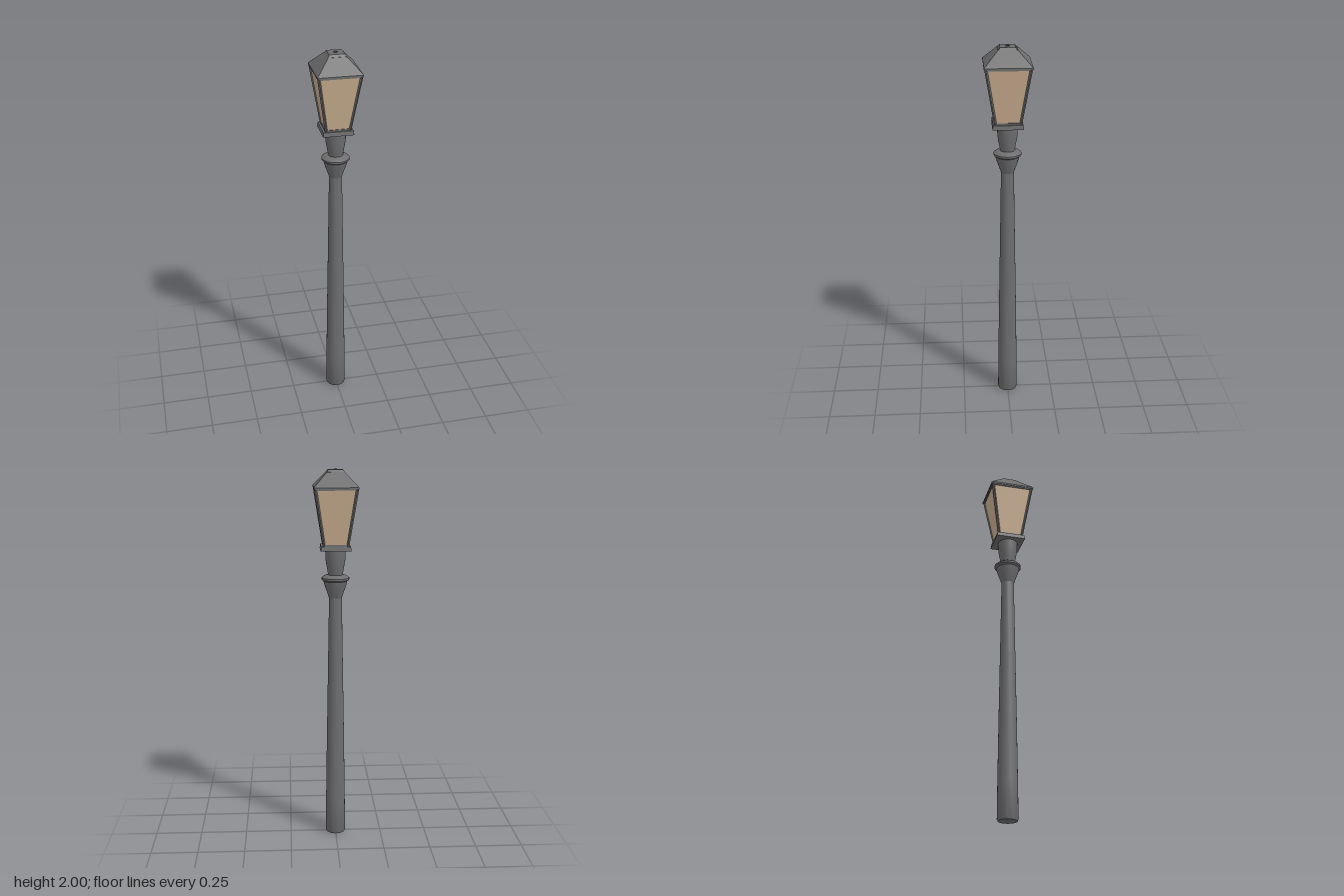
import * as THREE from 'three';
import { toCreasedNormals } from 'three/addons/utils/BufferGeometryUtils.js';

export function createModel() {
  const iron = new THREE.MeshStandardMaterial({ color: 0x6e6e6e });
  iron.name = 'grey iron';
  const glass = new THREE.MeshStandardMaterial({ color: 0xcbaf91 });
  glass.name = 'warm glass';
  const model = new THREE.Group();
  model.name = 'streetLamp';

  const add = (name, geometry, material = iron, parent = model) => {
    const mesh = new THREE.Mesh(geometry, material);
    mesh.name = name;
    parent.add(mesh);
    return mesh;
  };

  // Turned part from [radius, height] points, with sharp ridges
  const turned = (points, sides = 24) => toCreasedNormals(
    new THREE.LatheGeometry(points.map(([r, y]) => new THREE.Vector2(r, y)), sides), 0.5);

  // Four-sided tapered block; depth stretches it along z
  const taper = (y0, half0, y1, half1, depth = 1, open = false) => {
    const g = new THREE.CylinderGeometry(half1 * Math.SQRT2, half0 * Math.SQRT2, y1 - y0, 4, 1, open);
    g.rotateY(Math.PI / 4).scale(1, 1, depth).translate(0, (y0 + y1) / 2, 0);
    return toCreasedNormals(g, 0.3);
  };

  // Post, flared collar and neck
  add('post', turned([[0, 0], [0.05, 0], [0.054, 0.01], [0.052, 0.2], [0.047, 0.55],
    [0.041, 0.9], [0.034, 1.33]]));
  add('collar', turned([[0.034, 1.33], [0.06, 1.405], [0.063, 1.42], [0.073, 1.428],
    [0.073, 1.438], [0.06, 1.448], [0.038, 1.453]]));
  add('neck', turned([[0.038, 1.45], [0.043, 1.48], [0.052, 1.53], [0.054, 1.587]]));

  // Lantern body
  add('lanternBase', taper(1.585, 0.08, 1.608, 0.077));
  add('lanternGlass', taper(1.608, 0.062, 1.905, 0.107, 1.05), glass);

  // Frame bars along the corners and around the top and bottom of the panes
  const frame = new THREE.Group();
  frame.name = 'lanternFrame';
  model.add(frame);
  const bar = (name, a, b, width) => {
    const mesh = add(name, new THREE.BoxGeometry(width, width, a.distanceTo(b) + width * 0.5), iron, frame);
    mesh.position.copy(a).add(b).multiplyScalar(0.5);
    mesh.lookAt(b);
  };
  const corner = (i, half, y) => {
    const sx = i === 0 || i === 3 ? 1 : -1;
    const sz = i < 2 ? 1 : -1;
    return new THREE.Vector3(sx * half, y, sz * half * 1.05);
  };
  for (let i = 0; i < 4; i++) {
    const next = (i + 1) % 4;
    bar('cornerBar', corner(i, 0.061, 1.612), corner(i, 0.106, 1.9), 0.011);
    bar('bottomRail', corner(i, 0.062, 1.612), corner(next, 0.062, 1.612), 0.01);
    bar('topRail', corner(i, 0.106, 1.902), corner(next, 0.106, 1.902), 0.01);
  }

  // Hipped roof with a thin eave, a flat cap and a small vent ring
  add('eave', taper(1.904, 0.115, 1.912, 0.115, 1.06));
  add('roof', taper(1.912, 0.115, 1.985, 0.047, 1.06));
  add('roofCap', taper(1.985, 0.047, 1.997, 0.039));
  add('ventRing', new THREE.TorusGeometry(0.009, 0.003, 6, 12).rotateX(Math.PI / 2).translate(0, 1.997, 0));

  return model;
}
